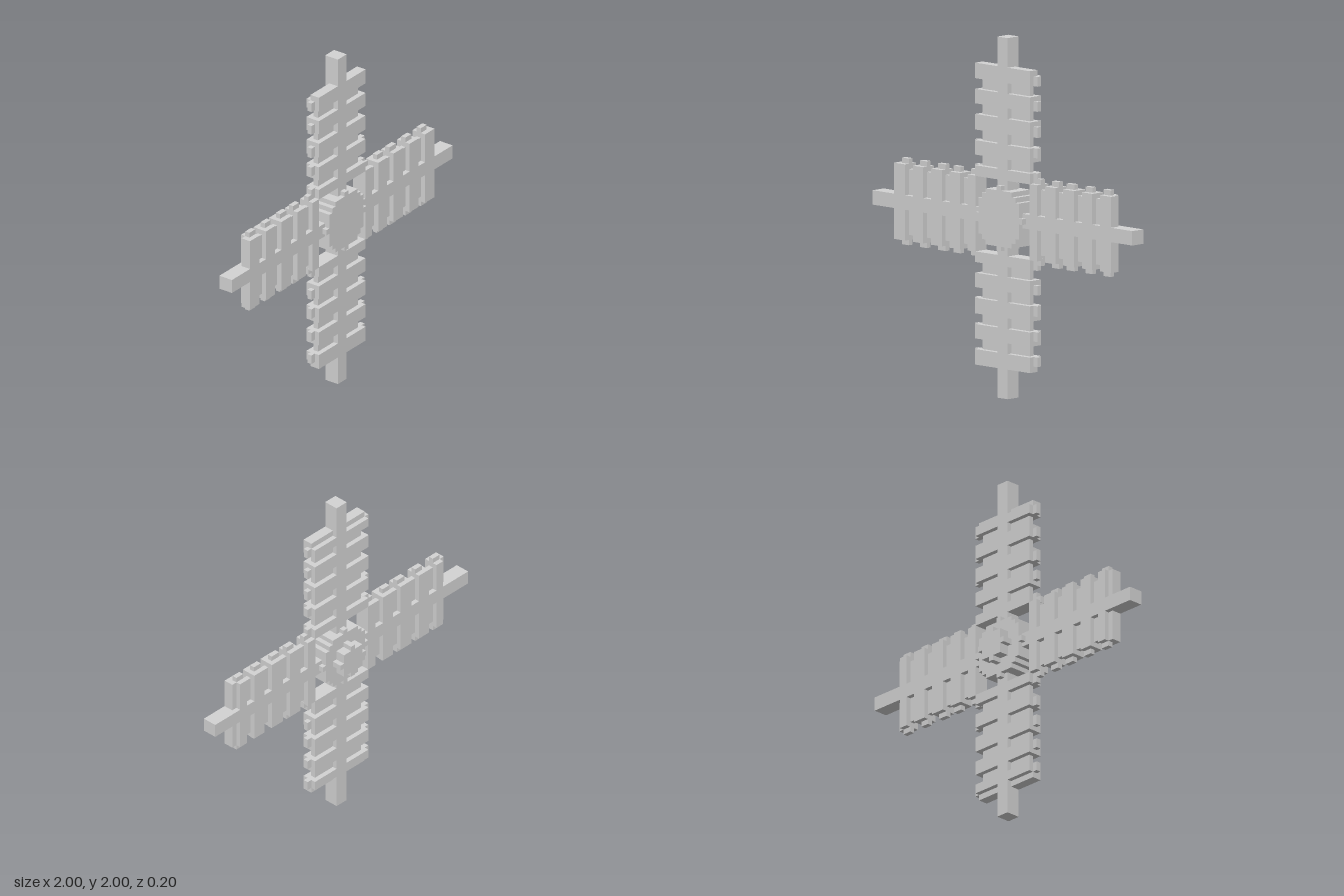
import * as THREE from 'three';

const grey = new THREE.MeshStandardMaterial({ color: 0xd3d3d3 });
grey.name = 'lightGrey';

// z levels of the blocky layers, front to back
const Z = [0.101, 0.072, 0.043, 0.014, -0.014, -0.043, -0.101];

// box given by its limits
function block(name, x0, x1, y0, y1, z0, z1) {
  const g = new THREE.BoxGeometry(x1 - x0, y1 - y0, z1 - z0);
  g.translate((x0 + x1) / 2, (y0 + y1) / 2, (z0 + z1) / 2);
  const m = new THREE.Mesh(g, grey);
  m.name = name;
  return m;
}

// stepped disc: [half width, half height] corners of one quadrant
function steppedDisc(name, corners, z0, z1) {
  const quadrant = [];
  corners.forEach(([x, y], i) => {
    if (i) quadrant.push([x, corners[i - 1][1]]);
    quadrant.push([x, y]);
  });
  const points = [];
  for (let q = 0; q < 4; q++) {
    for (const [x, y] of quadrant) {
      points.push(new THREE.Vector2(x, y).rotateAround(new THREE.Vector2(), q * Math.PI / 2));
    }
  }
  const g = new THREE.ExtrudeGeometry(new THREE.Shape(points), { depth: z1 - z0, bevelEnabled: false });
  g.translate(0, 0, z0);
  const m = new THREE.Mesh(g, grey);
  m.name = name;
  return m;
}

// one sail pointing up from the hub
function makeSail() {
  const sail = new THREE.Group();
  sail.name = 'sail';
  sail.add(block('spar', -0.04, 0.04, 0, 1, Z[4], Z[1]));
  sail.add(block('panel', -0.182, 0.182, 0.209, 0.83, Z[3], Z[2]));

  // rib start, rib end, peg start, peg end along the sail
  const ribs = [
    [0.209, 0.268, 0.209, 0.27],
    [0.327, 0.407, 0.353, 0.407],
    [0.466, 0.552, 0.466, 0.525],
    [0.611, 0.691, 0.611, 0.664],
    [0.75, 0.836, 0.75, 0.803],
  ];
  ribs.forEach(([r0, r1, p0, p1], i) => {
    const outer = i === ribs.length - 1;
    sail.add(block('rib', -0.211, 0.211, r0, r1, outer ? Z[3] : Z[4], Z[1]));
    if (outer) sail.add(block('ribBack', -0.211, 0.211, p0, p1, Z[4], Z[3]));
    for (const s of [-1, 1]) {
      const a = s * 0.2, b = s * 0.24;
      sail.add(block('peg', Math.min(a, b), Math.max(a, b), p0, p1, Z[3], Z[2]));
    }
  });
  return sail;
}

export function createModel() {
  const model = new THREE.Group();
  model.name = 'windmillSails';

  // four sails around the centre
  for (let i = 0; i < 4; i++) {
    const sail = makeSail();
    sail.position.y = 1;
    sail.rotation.z = i * Math.PI / 2;
    model.add(sail);
  }

  // hub and rear axle
  const hub = steppedDisc('hub', [
    [0.18, 0.016], [0.155, 0.1], [0.128, 0.128], [0.1, 0.155], [0.016, 0.18],
  ], Z[5], Z[0]);
  const axle = steppedDisc('axle', [
    [0.1, 0.016], [0.072, 0.072], [0.016, 0.1],
  ], Z[6], Z[5]);
  for (const part of [hub, axle]) {
    part.position.y = 1;
    model.add(part);
  }
  return model;
}
